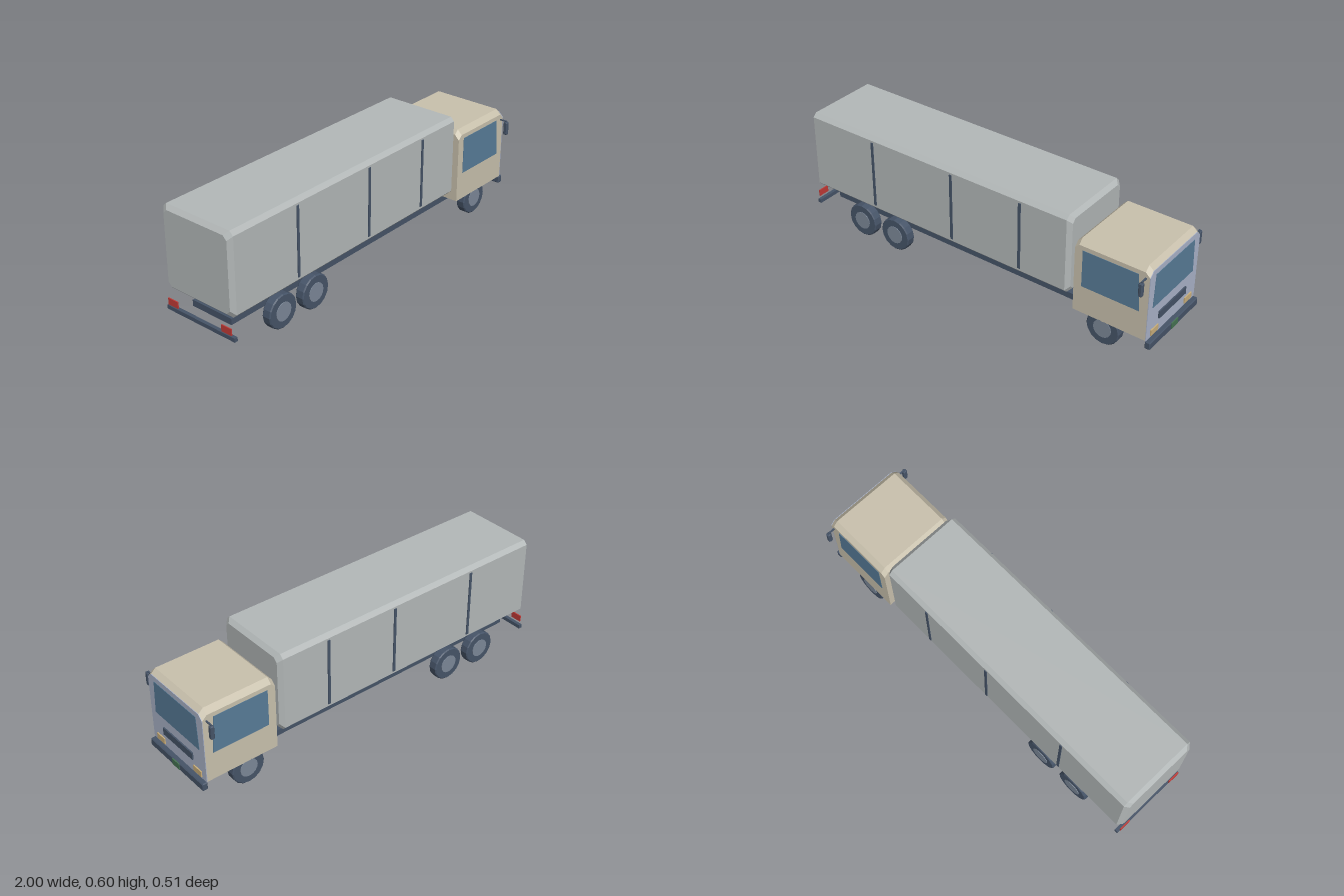
import * as THREE from 'three';
import { ConvexGeometry } from 'three/addons/geometries/ConvexGeometry.js';

const mat = (name, color) => {
  const m = new THREE.MeshStandardMaterial({ color });
  m.name = name;
  return m;
};

export function createModel() {
  const truck = new THREE.Group();
  truck.name = 'boxTruck';
  const grey = mat('cargoGrey', 0xb3b8b8);
  const beige = mat('cabBeige', 0xc9c1ad);
  const blue = mat('cabFrontBlue', 0xabb4ca);
  const glass = mat('glassBlue', 0x587c98);
  const dark = mat('darkSlate', 0x465468);
  const hubGrey = mat('hubGrey', 0x7c8898);
  const amber = mat('lampAmber', 0xcbb07c);
  const green = mat('plateGreen', 0x467453);
  const red = mat('tailRed', 0xc03a36);

  const add = (name, geometry, material, parent = truck) => {
    const mesh = new THREE.Mesh(geometry, material);
    mesh.name = name;
    parent.add(mesh);
    return mesh;
  };

  // Plain box given by its limits
  const box = (x0, x1, y0, y1, z0, z1) =>
    new THREE.BoxGeometry(x1 - x0, y1 - y0, z1 - z0)
      .translate((x0 + x1) / 2, (y0 + y1) / 2, (z0 + z1) / 2);

  // Box with every edge bevelled by c
  const bevelBox = (x0, x1, y0, y1, z0, z1, c) => {
    const points = [];
    for (const [x, inset] of [[x0, c], [x0 + c, 0], [x1 - c, 0], [x1, c]]) {
      for (const [cy, cz] of [[c, 0], [0, c]]) {
        for (const y of [y0 + inset + cy, y1 - inset - cy]) {
          for (const z of [z0 + inset + cz, z1 - inset - cz]) points.push(new THREE.Vector3(x, y, z));
        }
      }
    }
    return new ConvexGeometry(points);
  };

  // Thin plate from a 2D outline, facing +z
  const plate = (outline, depth) =>
    new THREE.ExtrudeGeometry(new THREE.Shape(outline.map(([a, b]) => new THREE.Vector2(a, b))),
      { depth, bevelEnabled: false });
  const frontPlate = (outline, x, depth) => plate(outline, depth).rotateY(Math.PI / 2).translate(x, 0, 0);

  // Cargo body with vertical ribs
  add('cargoBody', bevelBox(-0.995, 0.56, 0.187, 0.605, -0.209, 0.209, 0.02), grey);
  for (const x of [-0.59, -0.107, 0.287]) {
    for (const s of [-1, 1]) {
      add('cargoRib', box(x - 0.007, x + 0.007, 0.22, 0.575, s * 0.21 - 0.003, s * 0.21 + 0.003), dark);
    }
  }

  // Cab shell with bevelled roof edges
  const cabPoints = [];
  for (const [x, drop] of [[0.588, 0.022], [0.61, 0], [0.947, 0], [0.97, 0.022]]) {
    for (const s of [-1, 1]) {
      for (const [y, z] of [[0.128, 0.209], [0.487 - drop, 0.209], [0.512 - drop, 0.184]]) {
        cabPoints.push(new THREE.Vector3(x, y, s * z));
      }
    }
  }
  add('cabShell', new ConvexGeometry(cabPoints), beige);

  // Cab front panel and windscreen
  add('cabFront', frontPlate([[-0.209, 0.126], [0.209, 0.126], [0.209, 0.465], [0.184, 0.49],
    [-0.184, 0.49], [-0.209, 0.465]], 0.969, 0.004), blue);
  add('windscreen', frontPlate([[-0.172, 0.287], [0.172, 0.287], [0.162, 0.462], [-0.162, 0.462]],
    0.972, 0.003), glass);
  add('grille', box(0.97, 0.98, 0.197, 0.235, -0.115, 0.115), dark);

  // Front bumper and number plate
  add('frontBumper', bevelBox(0.968, 0.996, 0.085, 0.125, -0.209, 0.209, 0.004), dark);
  add('numberPlate', box(0.994, 1, 0.092, 0.124, -0.027, 0.027), green);

  // Chassis
  add('chassis', box(-0.925, 0.905, 0.096, 0.128, -0.12, 0.12), dark);

  // Wheels on their axles
  const tyreProfile = [[0, -0.024], [0.082, -0.024], [0.087, -0.019], [0.087, 0.019], [0.082, 0.024], [0, 0.024]]
    .map(([r, h]) => new THREE.Vector2(r, h));
  const tyre = new THREE.LatheGeometry(tyreProfile, 16).rotateX(Math.PI / 2).toNonIndexed();
  tyre.computeVertexNormals();
  const hub = new THREE.CylinderGeometry(0.047, 0.047, 0.006, 16).rotateX(Math.PI / 2).toNonIndexed();
  hub.computeVertexNormals();
  for (const x of [0.748, -0.476, -0.69]) {
    add('axle', new THREE.CylinderGeometry(0.012, 0.012, 0.34, 8).rotateX(Math.PI / 2), dark)
      .position.set(x, 0.088, 0);
    for (const s of [-1, 1]) {
      const wheel = new THREE.Group();
      wheel.name = 'wheel';
      wheel.position.set(x, 0.0875, s * 0.182);
      add('tyre', tyre, dark, wheel);
      add('hub', hub, hubGrey, wheel).position.z = s * 0.024;
      truck.add(wheel);
    }
  }

  // Paired cab details and tail lights
  for (const s of [-1, 1]) {
    const span = (a, b) => (s > 0 ? [a, b] : [-b, -a]);
    add('sideWindow', plate([[0.63, 0.273], [0.93, 0.273], [0.915, 0.465], [0.63, 0.465]], 0.004)
      .translate(0, 0, s * 0.209 - 0.002), glass);
    add('headlight', box(0.97, 0.979, 0.137, 0.168, ...span(0.115, 0.175)), amber);
    add('mirrorArm', box(0.947, 0.955, 0.456, 0.461, ...span(0.205, 0.247)), dark);
    add('mirror', bevelBox(0.941, 0.961, 0.386, 0.456, ...span(0.235, 0.257), 0.004), dark);
    add('tailLight', box(-1, -0.994, 0.11, 0.143, ...span(0.135, 0.195)), red);
  }

  // Rear bumper bar
  add('rearBumper', box(-0.995, -0.977, 0.08, 0.1, -0.209, 0.209), dark);

  return truck;
}
